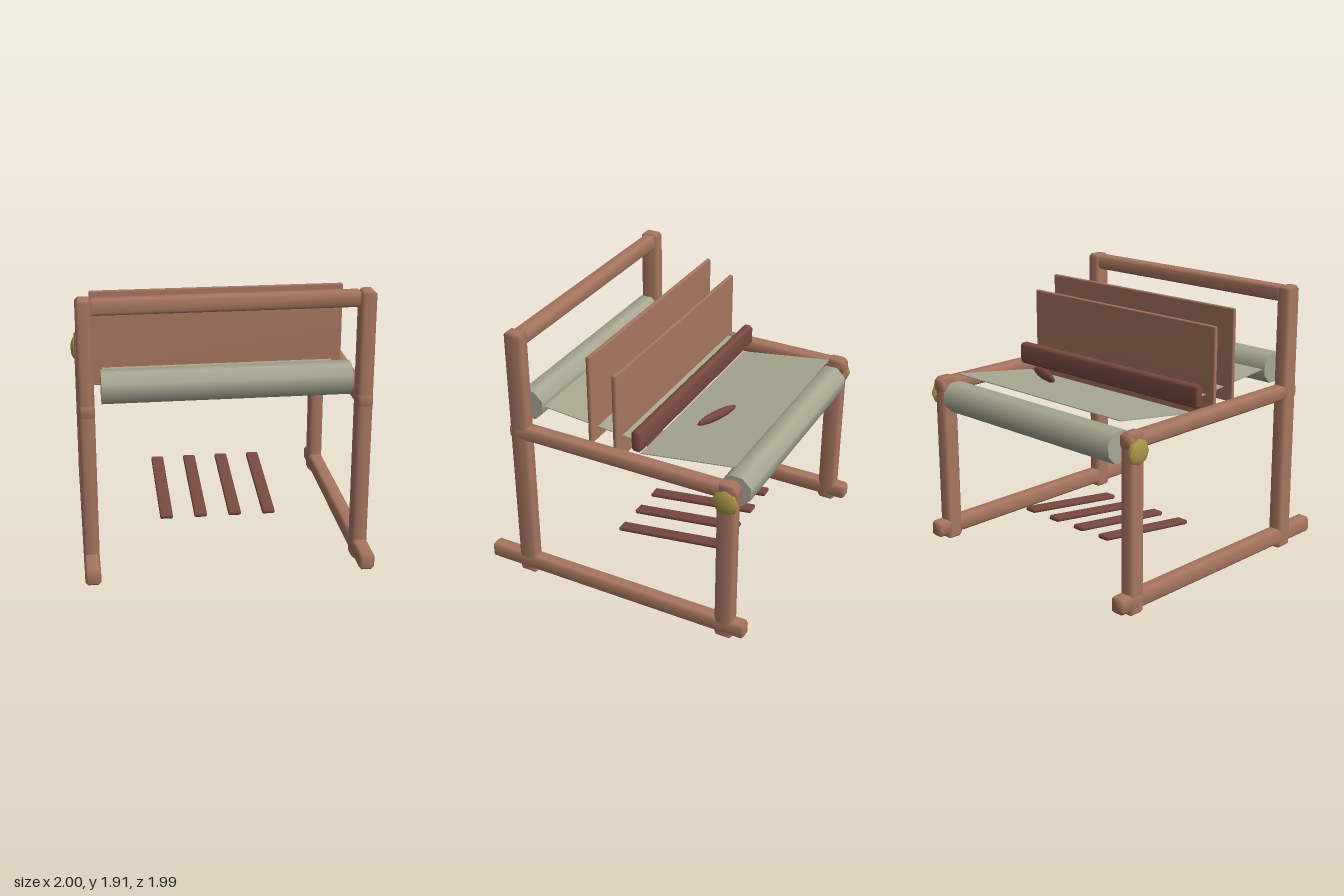
import * as THREE from 'three';
import { mergeVertices } from 'three/addons/utils/BufferGeometryUtils.js';
import { ConvexGeometry } from 'three/addons/geometries/ConvexGeometry.js';

const mat = (name, color) => {
  const m = new THREE.MeshStandardMaterial({ color });
  m.name = name;
  return m;
};

// Box with chamfered edges and soft normals
function chamferBox(w, h, d, c) {
  const [x, y, z] = [w / 2, h / 2, d / 2];
  const pts = [];
  for (const i of [-1, 1]) for (const j of [-1, 1]) for (const k of [-1, 1]) {
    pts.push(
      new THREE.Vector3(i * x, j * (y - c), k * (z - c)),
      new THREE.Vector3(i * (x - c), j * y, k * (z - c)),
      new THREE.Vector3(i * (x - c), j * (y - c), k * z));
  }
  const g = new ConvexGeometry(pts);
  g.deleteAttribute('normal');
  const merged = mergeVertices(g);
  merged.computeVertexNormals();
  return merged;
}

export function createModel() {
  const model = new THREE.Group();
  model.name = 'loom';
  const wood = mat('wood', 0xa87661);
  const darkWood = mat('dark wood', 0x784a40);
  const cloth = mat('cloth', 0xa9a892);
  const brass = mat('brass', 0xa89648);
  cloth.side = THREE.DoubleSide;

  const add = (name, geometry, material, x, y, z) => {
    const m = new THREE.Mesh(geometry, material);
    m.name = name;
    m.position.set(x, y, z);
    model.add(m);
    return m;
  };
  // Beam given by its limits on each axis
  const beam = (name, material, [x0, x1], [y0, y1], [z0, z1], c = 0.02) =>
    add(name, chamferBox(x1 - x0, y1 - y0, z1 - z0, c), material,
      (x0 + x1) / 2, (y0 + y1) / 2, (z0 + z1) / 2);

  // Side frames with brass knobs
  for (const s of [-1, 1]) {
    const xs = s > 0 ? [0.865, 0.97] : [-0.97, -0.865];
    const side = s > 0 ? 'left' : 'right';
    beam(side + 'FrontPost', wood, xs, [0, 1.91], [0.625, 0.76], 0.022);
    beam(side + 'BackPost', wood, xs, [0, 1.225], [-0.91, -0.78], 0.022);
    beam(side + 'BaseRail', wood, xs, [0.035, 0.15], [-0.995, 0.995]);
    beam(side + 'UpperRail', wood, xs, [1.115, 1.215], [-0.92, 0.768]);
    const knob = new THREE.SphereGeometry(0.092, 8, 6);
    knob.rotateZ(Math.PI / 2).scale(0.36, 1, 1);
    add(side + 'Knob', knob, brass, s * 0.965, 1.1, -0.845);
  }
  beam('topBeam', wood, [-0.88, 0.88], [1.8, 1.905], [0.635, 0.74]);

  // Heddle panels and reed
  beam('frontHeddle', wood, [-0.867, 0.867], [1.18, 1.82], [0.17, 0.203], 0.008);
  beam('backHeddle', wood, [-0.867, 0.867], [1.09, 1.73], [-0.017, 0.017], 0.008);
  beam('reed', darkWood, [-0.868, 0.868], [1.205, 1.36], [-0.19, -0.115]);

  // Cloth rolls
  const roll = (name, y, z, length) => {
    const g = new THREE.CylinderGeometry(0.113, 0.113, length, 8, 1);
    g.rotateY(Math.PI / 8).rotateZ(Math.PI / 2);
    add(name, g, cloth, 0, y, z);
  };
  roll('frontClothRoll', 1.315, 0.69, 1.64);
  roll('backClothRoll', 1.095, -0.845, 1.62);

  // Stretched cloth, each sheet sloping along z
  const sheet = (name, [zA, yA], [zB, yB]) => {
    const g = new THREE.BoxGeometry(1.59, 0.006, Math.hypot(zB - zA, yB - yA));
    const m = add(name, g, cloth, 0, (yA + yB) / 2, (zA + zB) / 2);
    m.rotation.x = Math.atan2(yA - yB, zB - zA);
  };
  sheet('frontCloth', [-0.15, 1.248], [0.6, 1.315]);
  sheet('backCloth', [-0.825, 1.257], [-0.15, 1.16]);

  // Shuttle
  const shuttle = new THREE.SphereGeometry(1, 8, 6);
  shuttle.rotateZ(Math.PI / 2).scale(0.18, 0.04, 0.025);
  add('shuttle', shuttle, darkWood, 0.3, 1.275, -0.46).rotation.y = -0.34;

  // Treadles
  for (let i = 0; i < 4; i++) {
    const t = add('treadle' + (i + 1), chamferBox(0.09, 0.032, 0.835, 0.008),
      darkWood, -0.37 + i * 0.245, 0.218, -0.15);
    t.rotation.x = 0.14;
  }
  return model;
}
